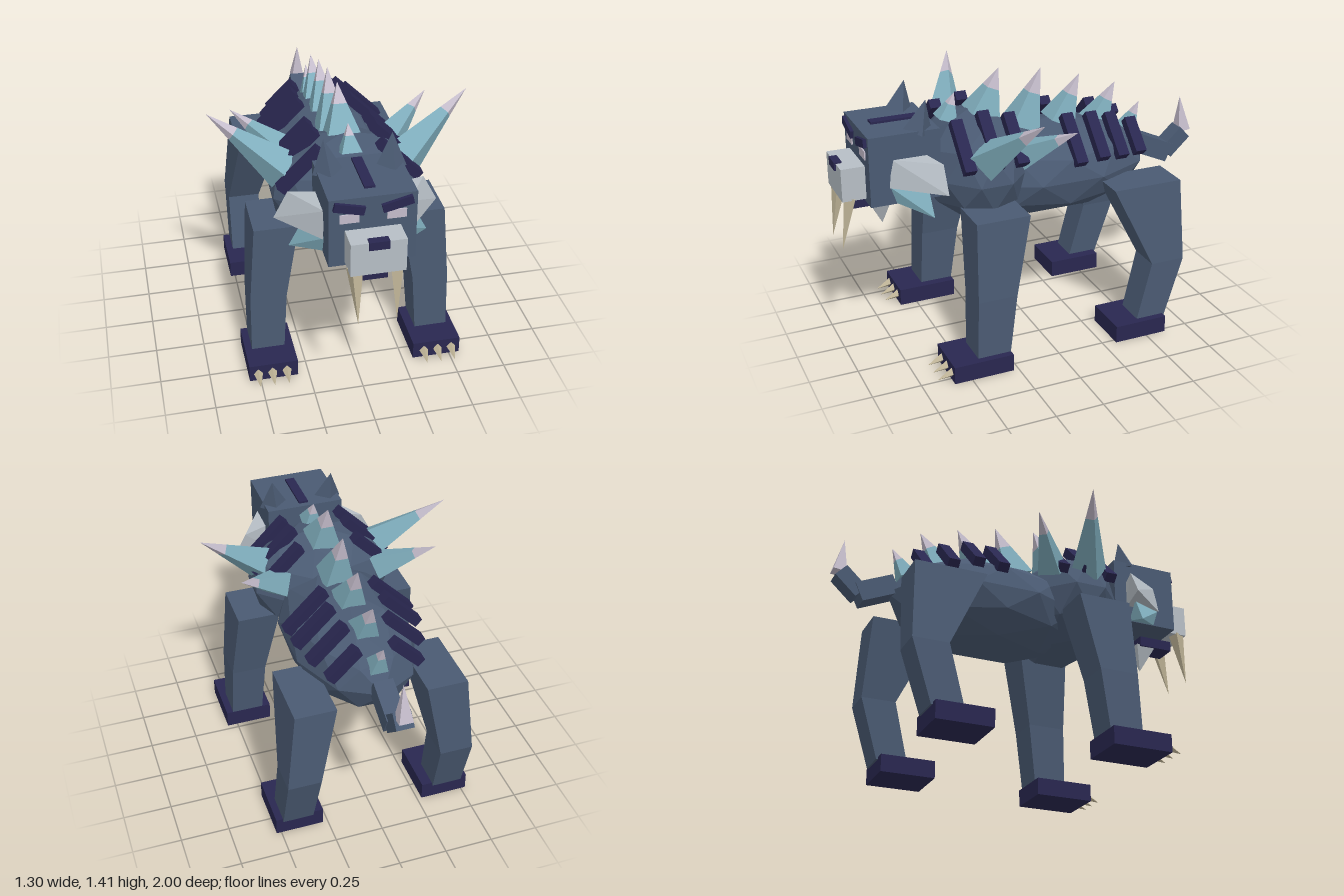
import * as THREE from 'three';
import { ConvexGeometry } from 'three/addons/geometries/ConvexGeometry.js';

const mat = (name, color) => {
  const m = new THREE.MeshStandardMaterial({ color, flatShading: true });
  m.name = name;
  return m;
};

export function createModel() {
  const hide = mat('slate hide', 0x4a5a72);
  const dark = mat('dark indigo', 0x292750);
  const fur = mat('pale grey fur', 0xb6bec5);
  const teal = mat('teal spike', 0x7fadbc);
  const lilac = mat('pale lilac', 0xc4bccb);
  const ivory = mat('ivory', 0xc0b598);

  const model = new THREE.Group();
  const V = (x, y, z) => new THREE.Vector3(x, y, z);
  const UP = V(0, 1, 0);

  const add = (name, geometry, material, parent = model) => {
    const m = new THREE.Mesh(geometry, material);
    m.name = name;
    parent.add(m);
    return m;
  };
  // Box from its centre and size
  const box = (name, material, c, size, rx = 0, rz = 0) => {
    const m = add(name, new THREE.BoxGeometry(...size), material);
    m.position.set(...c);
    m.rotation.set(rx, 0, rz);
    return m;
  };
  // Faceted ellipsoid with a corner at the top and bottom
  const blob = (name, c, r) => {
    const g = new THREE.IcosahedronGeometry(1, 1);
    g.rotateZ(-Math.atan(2 / (1 + Math.sqrt(5))));
    g.scale(...r);
    g.translate(...c);
    add(name, g, hide);
  };
  // Four-sided spike from base to tip; tipPart is the share in the tip colour
  const spike = (name, base, tip, r, material, turn = 0, tipPart = 0) => {
    const group = new THREE.Group();
    group.name = name;
    const a = V(...base), d = V(...tip).sub(a), len = d.length();
    const low = len * (1 - tipPart);
    if (tipPart) {
      const g = new THREE.CylinderGeometry(r * tipPart, r, low, 4);
      g.translate(0, low / 2, 0).rotateY(turn);
      add(name + 'Base', g, material, group);
      const t = new THREE.ConeGeometry(r * tipPart, len - low, 4);
      t.translate(0, (low + len) / 2, 0).rotateY(turn);
      add(name + 'Tip', t, lilac, group);
    } else {
      const g = new THREE.ConeGeometry(r, len, 4);
      g.translate(0, len / 2, 0).rotateY(turn);
      add(name + 'Cone', g, material, group);
    }
    group.position.copy(a);
    group.quaternion.setFromUnitVectors(UP, d.normalize());
    model.add(group);
  };
  // Leg through three sections, lowest first: [y, x0, x1, z0, z1]
  const leg = (name, s, sections) => {
    const g = new THREE.BoxGeometry(1, 2, 1, 1, 2, 1), p = g.attributes.position;
    for (let i = 0; i < p.count; i++) {
      const [y, x0, x1, z0, z1] = sections[Math.round(p.getY(i)) + 1];
      p.setXYZ(i, s * (x0 + x1) / 2 + p.getX(i) * (x1 - x0), y, (z0 + z1) / 2 + p.getZ(i) * (z1 - z0));
    }
    g.computeVertexNormals();
    add(name, g, hide);
  };
  const hull = (name, material, s, pts) =>
    add(name, new ConvexGeometry(pts.map(([x, y, z]) => V(s * x, y, z))), material);

  // Trunk
  blob('body', [0, 0.86, -0.16], [0.327, 0.25, 0.55]);
  blob('chest', [0, 0.935, 0.28], [0.388, 0.285, 0.27]);

  // Head
  box('head', hide, [0, 1.038, 0.69], [0.41, 0.355, 0.36]);
  box('muzzle', fur, [0, 0.965, 0.925], [0.26, 0.17, 0.13]);
  box('nose', dark, [0, 1.036, 0.98], [0.095, 0.042, 0.04]);
  box('jaw', dark, [0, 0.833, 0.835], [0.12, 0.055, 0.19]);
  box('crownStripe', dark, [0, 1.217, 0.67], [0.05, 0.02, 0.26]);
  spike('chinBeard', [0, 0.81, 0.775], [0, 0.675, 0.76], 0.075, fur, Math.PI / 4);

  // Back spikes: base y, base z, tip y, tip z, half width
  [
    [1.18, 0.41, 1.31, 0.36, 0.05],
    [1.18, 0.22, 1.41, 0.12, 0.08],
    [1.09, 0, 1.38, -0.11, 0.08],
    [1.08, -0.21, 1.32, -0.33, 0.072],
    [1.04, -0.42, 1.25, -0.54, 0.065],
    [0.97, -0.61, 1.12, -0.69, 0.045],
  ].forEach(([y, z, ty, tz, w]) =>
    spike('backSpike', [0, y, z], [0, ty, tz], w * Math.SQRT2, teal, Math.PI / 4, 0.42));

  // Tail
  box('tailRoot', hide, [0, 0.853, -0.77], [0.1, 0.105, 0.21], -0.42);
  box('tailEnd', hide, [0, 0.865, -0.908], [0.09, 0.085, 0.15], 0.75);
  spike('tailSpike', [0, 0.92, -0.965], [0, 1.11, -0.945], 0.05, lilac, Math.PI / 4);

  for (const s of [1, -1]) {
    // Face
    box('eye', lilac, [s * 0.11, 1.113, 0.872], [0.09, 0.045, 0.009]);
    box('brow', dark, [s * 0.112, 1.168, 0.876], [0.145, 0.042, 0.022], 0, s * 0.24);
    spike('ear', [s * 0.15, 1.2, 0.605], [s * 0.163, 1.355, 0.565], 0.075, hide);
    spike('tusk', [s * 0.1, 0.89, 0.945], [s * 0.092, 0.61, 0.995], 0.04, ivory, Math.PI / 4);
    hull('cheekTuft', fur, s, [
      [0.2, 1.09, 0.755], [0.33, 1.08, 0.54], [0.4, 0.945, 0.54],
      [0.21, 0.95, 0.775], [0.19, 1.09, 0.585], [0.19, 0.95, 0.585],
    ]);
    hull('cheekSpike', teal, s, [
      [0.265, 0.96, 0.6], [0.2, 0.955, 0.775], [0.2, 0.865, 0.745],
      [0.34, 0.815, 0.595], [0.19, 0.87, 0.6],
    ]);

    // Shoulder spikes
    spike('shoulderSpike', [s * 0.3, 1.05, 0.3], [s * 0.65, 1.325, 0.16], 0.105, teal, 0, 0.34);
    spike('flankSpike', [s * 0.27, 1.04, 0.1], [s * 0.51, 1.21, -0.08], 0.085, teal, 0, 0.36);

    // Raised stripes: x, y, z, length
    [
      [0.245, 1.115, 0.41, 0.28], [0.25, 1.13, 0.27, 0.31], [0.245, 1.115, 0.135, 0.28],
      [0.225, 1.055, -0.195, 0.28], [0.225, 1.055, -0.325, 0.26],
      [0.195, 1.03, -0.45, 0.25], [0.16, 0.995, -0.58, 0.2],
    ].forEach(([x, y, z, l]) =>
      box('stripe', dark, [s * x, y, z], [l, 0.05, 0.06], 0, -s * Math.PI / 4));

    // Legs and paws
    leg('frontLeg', s, [
      [0.08, 0.35, 0.52, 0.28, 0.455],
      [0.4, 0.33, 0.515, 0.24, 0.445],
      [0.807, 0.26, 0.483, 0.155, 0.435],
    ]);
    leg('hindLeg', s, [
      [0.08, 0.33, 0.49, -0.62, -0.455],
      [0.4, 0.315, 0.487, -0.72, -0.535],
      [0.83, 0.23, 0.44, -0.705, -0.33],
    ]);
    box('frontPaw', dark, [s * 0.43, 0.046, 0.435], [0.25, 0.092, 0.315]);
    box('hindPaw', dark, [s * 0.4, 0.046, -0.465], [0.25, 0.092, 0.29]);
    for (const x of [0.363, 0.437, 0.51])
      spike('claw', [s * x, 0.045, 0.585], [s * x, 0.016, 0.668], 0.026, ivory);
  }
  return model;
}
